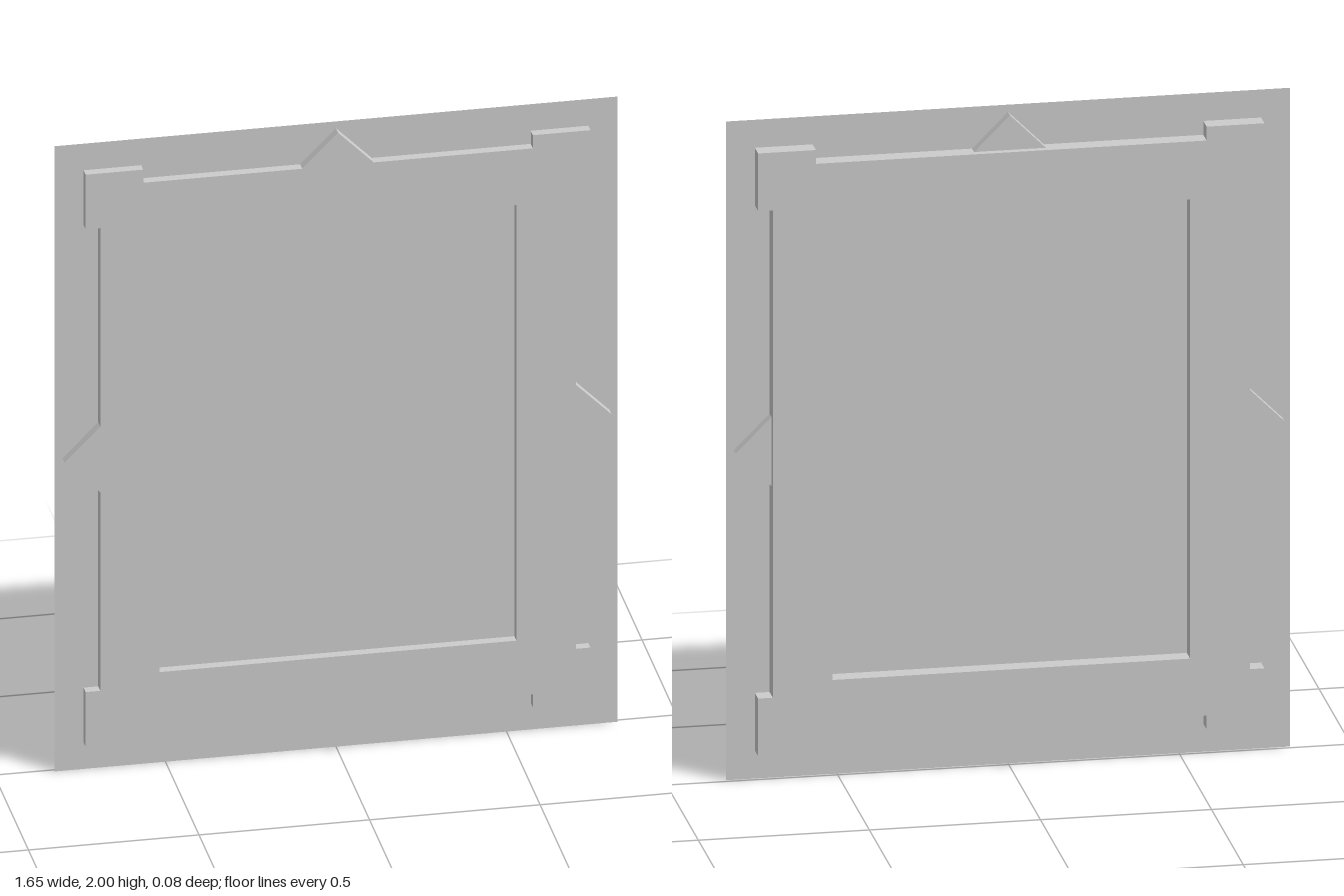
import * as THREE from 'three';

const MID_Y = 1;        // height of the frame's centre
const HALF_DEPTH = 0.041;

export function createModel() {
  const group = new THREE.Group();
  const material = new THREE.MeshStandardMaterial({ color: 0xcccccc, flatShading: true });
  const sheetMaterial = new THREE.MeshStandardMaterial({ color: 0xcccccc, side: THREE.DoubleSide });

  const add = (name, geometry, mat = material) => {
    const mesh = new THREE.Mesh(geometry, mat);
    mesh.name = name;
    group.add(mesh);
    return mesh;
  };
  const toShape = (points) => new THREE.Shape(points.map(([x, y]) => new THREE.Vector2(x, y)));
  const extrude = (shape, back, front) =>
    new THREE.ExtrudeGeometry(shape, { depth: front - back, bevelEnabled: false }).translate(0, 0, back);

  // Frame outline: one stepped corner, mirrored into the four quadrants
  const corner = [[0.697, 0.74], [0.74, 0.74], [0.74, 0.915], [0.571, 0.915], [0.571, 0.873]];
  const mirror = (sx, sy) => corner.map(([x, y]) => [x * sx, y * sy]);
  const outline = toShape([
    ...mirror(1, 1),
    ...mirror(-1, 1).reverse(),
    ...mirror(-1, -1),
    ...mirror(1, -1).reverse(),
  ]);

  // Rectangular opening
  const ox = 0.523, oy = 0.697;
  outline.holes.push(toShape([[-ox, -oy], [-ox, oy], [ox, oy], [ox, -oy]]));
  add('frame', extrude(outline, -HALF_DEPTH, HALF_DEPTH)).position.y = MID_Y;

  // Pointed ornaments in the middle of each side, flush with the frame's front
  const point = toShape([[-0.105, 0], [0.105, 0], [0, 0.105]]);
  const pointGeometry = extrude(point, -0.02, HALF_DEPTH);
  const sides = [
    ['topPoint', 0, 0.873, 0],
    ['rightPoint', -0.697, 0, Math.PI / 2],
    ['bottomPoint', 0, -0.873, Math.PI],
    ['leftPoint', 0.697, 0, -Math.PI / 2],
  ];
  for (const [name, x, y, angle] of sides) {
    const mesh = add(name, pointGeometry);
    mesh.position.set(x, MID_Y + y, 0);
    mesh.rotation.z = angle;
  }

  // Thin sheet running through the frame
  add('panel', new THREE.PlaneGeometry(1.65, 2), sheetMaterial).position.set(0, MID_Y, 0.011);

  return group;
}
